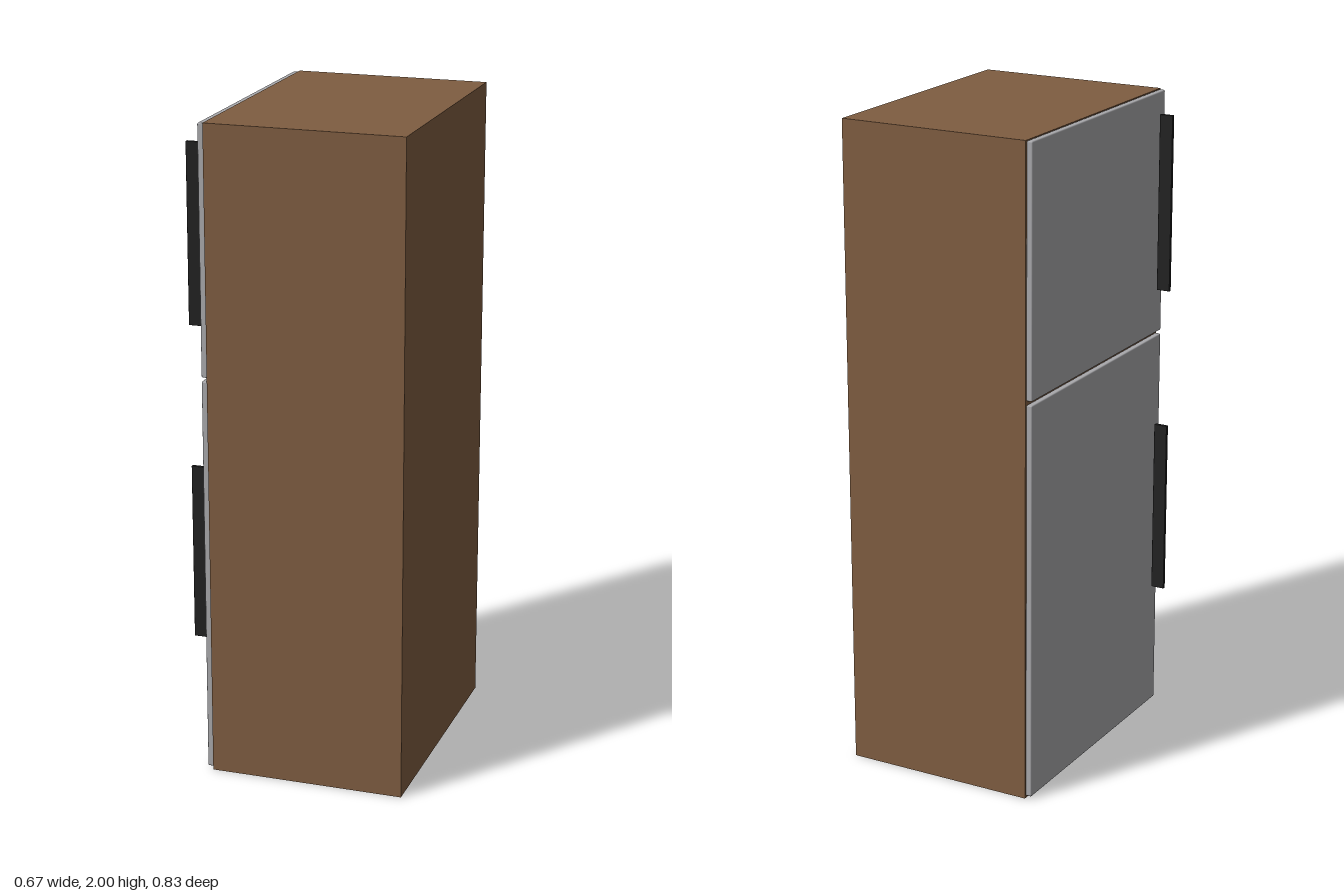
import * as THREE from 'three';
import { RoundedBoxGeometry } from 'three/addons/geometries/RoundedBoxGeometry.js';

const mat = (name, color) => {
  const m = new THREE.MeshStandardMaterial({ color });
  m.name = name;
  return m;
};

export function createModel() {
  const group = new THREE.Group();
  const brown = mat('cabinet brown', 0x7f5d41);
  const grey = mat('door grey', 0xa9a9ac);
  const black = mat('handle black', 0x222222);

  // Box given by its lower and upper corners; a radius softens the edges
  const addBox = (name, material, [x0, y0, z0], [x1, y1, z1], radius = 0) => {
    const size = [x1 - x0, y1 - y0, z1 - z0];
    const geometry = radius
      ? new RoundedBoxGeometry(...size, 2, radius)
      : new THREE.BoxGeometry(...size);
    const mesh = new THREE.Mesh(geometry, material);
    mesh.name = name;
    mesh.position.set((x0 + x1) / 2, (y0 + y1) / 2, (z0 + z1) / 2);
    group.add(mesh);
  };

  // Cabinet
  addBox('cabinet', brown, [-0.264, 0, -0.416], [0.334, 2, 0.416]);

  // Two doors on the -x side, each with an upright bar handle
  const doors = [
    { name: 'lower', y: [0.008, 1.236], handle: [0.413, 0.957] },
    { name: 'upper', y: [1.248, 1.998], handle: [1.39, 1.934] },
  ];
  for (const { name, y, handle } of doors) {
    addBox(name + 'Door', grey, [-0.283, y[0], -0.412], [-0.264, y[1], 0.41], 0.004);
    addBox(name + 'Handle', black, [-0.336, handle[0], 0.356], [-0.293, handle[1], 0.367], 0.002);
  }
  return group;
}
